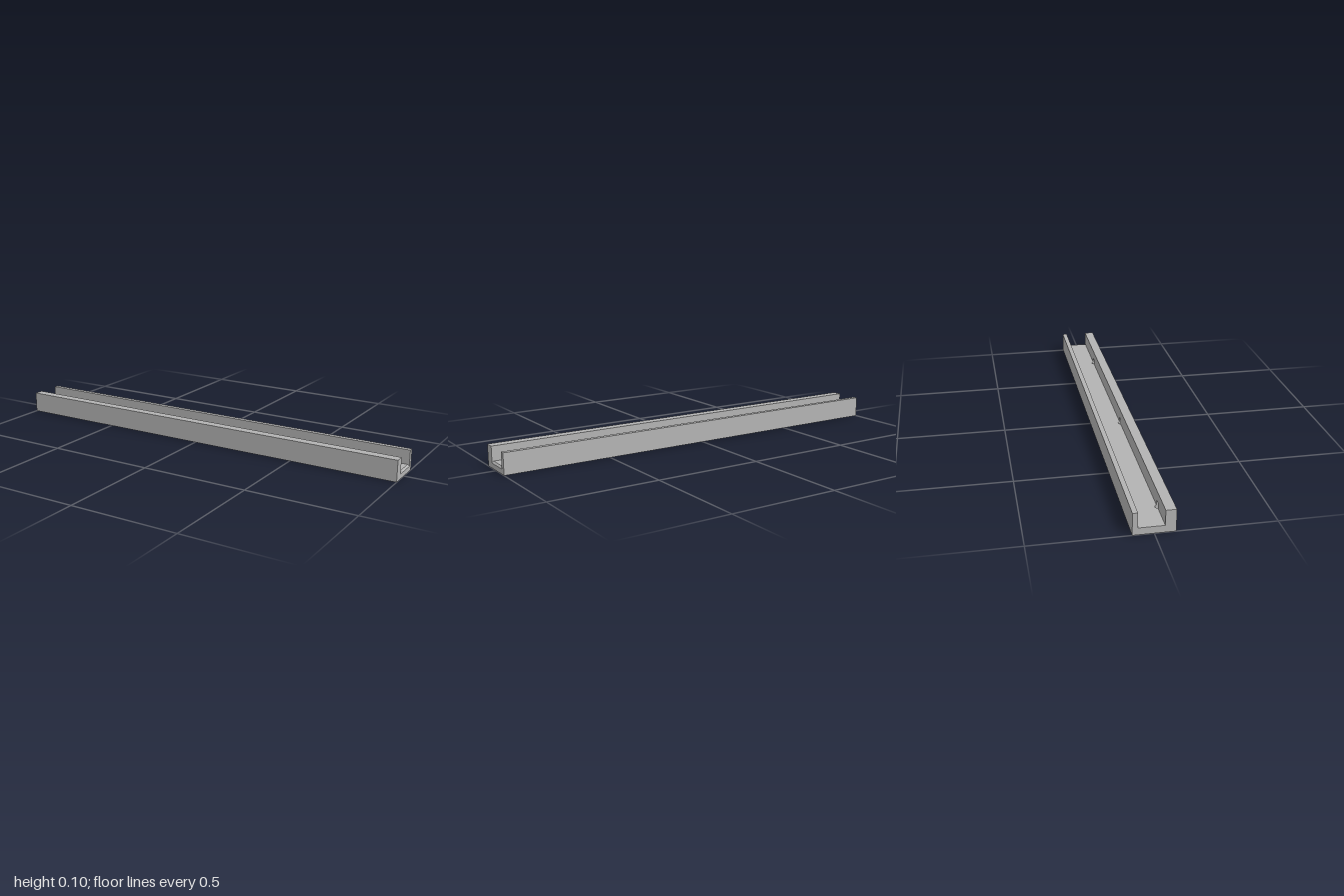
import * as THREE from 'three';

const HALF = 0.087, TOP = 0.098, FLOOR = 0.031, HOLE_TOP = 0.054;
const FRONT_IN = 0.043, BACK_IN = -0.065;
const HOLES = [-0.86, -0.08, 0.695], HOLE_Z = 0.048, HOLE_R = 0.014;
const END = 0.992; // where the end chamfer starts

export function createModel() {
  const group = new THREE.Group();
  const grey = new THREE.MeshStandardMaterial({ color: 0xb3b3b3 });
  grey.name = 'grey';

  const add = (name, geometry) => {
    const mesh = new THREE.Mesh(geometry, grey);
    mesh.name = name;
    group.add(mesh);
  };
  const box = (name, x0, x1, y0, y1, z0, z1) => {
    const g = new THREE.BoxGeometry(x1 - x0, y1 - y0, z1 - z0);
    add(name, g.translate((x0 + x1) / 2, (y0 + y1) / 2, (z0 + z1) / 2));
  };
  // Plan outline (x, -z) raised from y0 to y1
  const raise = (name, shape, y0, y1) => {
    const g = new THREE.ExtrudeGeometry(shape, { depth: y1 - y0, bevelEnabled: false, curveSegments: 24 });
    add(name, g.rotateX(-Math.PI / 2).translate(0, y0, 0));
  };

  // Floor with three round holes drilled from below
  const floor = new THREE.Shape([[-1, -HALF], [END, -HALF], [END, HALF], [-1, HALF]]
    .map(([x, y]) => new THREE.Vector2(x, y)));
  for (const x of HOLES) {
    floor.holes.push(new THREE.Path().absarc(x, -HOLE_Z, HOLE_R, 0, Math.PI * 2, true));
  }
  raise('floor', floor, 0, FLOOR);

  // Chamfered lip at the +x end, between two square corners
  const lip = new THREE.Shape([[END, 0], [1, 0], [1, 0.023], [END, FLOOR]]
    .map(([x, y]) => new THREE.Vector2(x, y)));
  add('floorLip', new THREE.ExtrudeGeometry(lip, { depth: 0.112, bevelEnabled: false }).translate(0, 0, -0.067));
  box('frontLipCorner', END, 1, 0, FLOOR, 0.045, HALF);
  box('backLipCorner', END, 1, 0, FLOOR, -HALF, -0.067);

  // Lower front wall, where the holes bite into its inner face
  const wall = new THREE.Shape();
  wall.moveTo(-1, -HALF);
  wall.lineTo(1, -HALF);
  wall.lineTo(1, -FRONT_IN);
  const a = Math.asin((HOLE_Z - FRONT_IN) / HOLE_R);
  for (const x of [...HOLES].reverse()) {
    wall.absarc(x, -HOLE_Z, HOLE_R, a, Math.PI - a, true);
  }
  wall.lineTo(-1, -FRONT_IN);
  raise('frontWallNotched', wall, FLOOR, HOLE_TOP);

  // Solid walls
  box('frontWallUpper', -1, 1, HOLE_TOP, TOP, FRONT_IN, HALF);
  box('backWall', -1, 1, FLOOR, TOP, -HALF, BACK_IN);
  return group;
}
